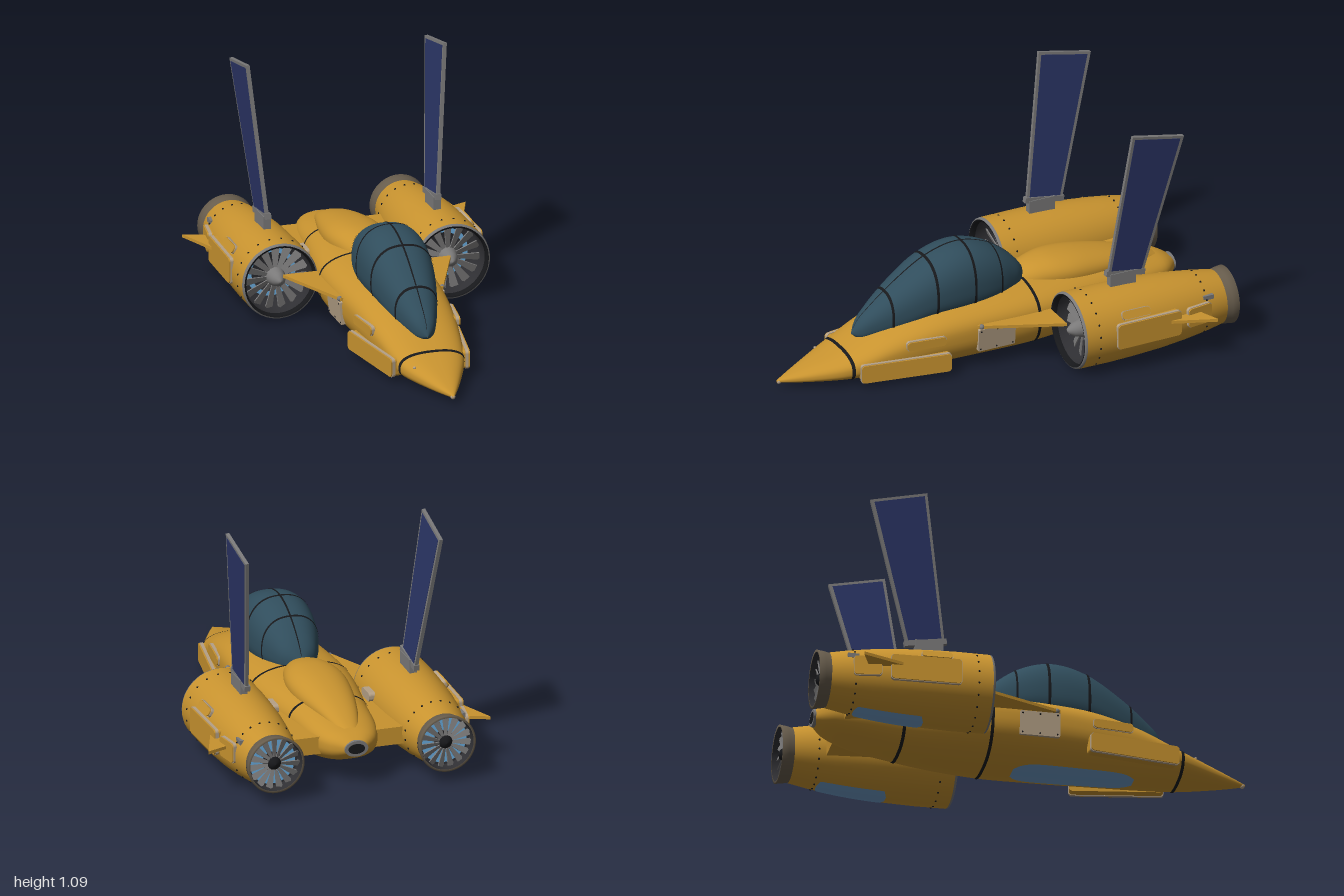
import * as THREE from 'three';

const mat = (name, color) => {
  const m = new THREE.MeshStandardMaterial({ color });
  m.name = name;
  return m;
};

// Smooth body from sections [z, halfWidth, bottomY, middleY, topY], listed tail to nose
function makeSurface(sections, power) {
  const spline = new THREE.CubicInterpolant(sections.map(s => s[0]), sections.flatMap(s => s.slice(1)), 4);
  const bend = v => Math.sign(v) * Math.abs(v) ** (2 / power);
  return (z, a, off = 0) => {
    const [w, bottom, mid, top] = spline.evaluate(z);
    const s = Math.sin(a);
    const h = (s > 0 ? top - mid : mid - bottom) + off;
    return [(w + off) * bend(Math.cos(a)), mid + h * bend(s), z];
  };
}

// Piece of a body surface; a full turn by default, ends rounded by a power when given
function patch(surface, z0, z1, off = 0, { mid = 0, half = Math.PI, nz = 2, na = 64, round = 0 } = {}) {
  const pos = [], idx = [], full = half === Math.PI, row = full ? na : na + 1;
  for (let i = 0; i <= nz; i++) {
    const t = i / nz;
    const k = round ? Math.max(0.1, 1 - Math.abs(2 * t - 1) ** round) ** 0.5 : 1;
    for (let j = 0; j < row; j++) {
      pos.push(...surface(z0 + (z1 - z0) * t, mid + half * k * (2 * j / na - 1), off));
    }
  }
  for (let i = 0; i < nz; i++) for (let j = 0; j < na; j++) {
    const a = i * row + j, b = i * row + (j + 1) % row;
    idx.push(a, b, a + row, b, b + row, a + row);
  }
  const g = new THREE.BufferGeometry();
  g.setAttribute('position', new THREE.Float32BufferAttribute(pos, 3));
  g.setIndex(idx);
  g.computeVertexNormals();
  return g;
}

// Flat polygon with thickness, centred on its plane
function slab(points, thick) {
  const shape = new THREE.Shape(points.map(p => new THREE.Vector2(...p)));
  return new THREE.ExtrudeGeometry(shape, { depth: thick, bevelEnabled: false }).translate(0, 0, -thick / 2);
}

// Rounded plate lying in the zy plane
function plate(len, h, thick, r = 0.015) {
  const s = new THREE.Shape(), x = len / 2, y = h / 2;
  s.absarc(x - r, y - r, r, 0, Math.PI / 2);
  s.absarc(-x + r, y - r, r, Math.PI / 2, Math.PI);
  s.absarc(-x + r, -y + r, r, Math.PI, Math.PI * 1.5);
  s.absarc(x - r, -y + r, r, Math.PI * 1.5, Math.PI * 2);
  return new THREE.ExtrudeGeometry(s, { depth: thick, bevelEnabled: false, curveSegments: 5 })
    .translate(0, 0, -thick / 2).rotateY(Math.PI / 2);
}

// Revolved part along z; points are [radius, z], rising z faces outward, falling z inward
const lathe = pts => new THREE.LatheGeometry(pts.map(p => new THREE.Vector2(...p)), 48).rotateX(Math.PI / 2);

export function createModel() {
  const model = new THREE.Group();
  const yellow = mat('yellow paint', 0xc8932f), glass = mat('canopy glass', 0x304d5c);
  const navy = mat('navy panel', 0x2b3566), grey = mat('grey metal', 0x7a7979);
  const black = mat('black seam', 0x17181b), nozzleMat = mat('burnt metal', 0x675c4c);
  const beige = mat('beige hatch', 0xb5a187), slate = mat('slate blue panel', 0x6e9cc8);
  const glow = mat('engine blue', 0x6aaee0), dark = mat('dark interior', 0x303034);

  const add = (parent, name, geo, material, x = 0, y = 0, z = 0) => {
    const m = new THREE.Mesh(geo, material);
    m.name = name;
    m.position.set(x, y, z);
    parent.add(m);
    return m;
  };

  // Fuselage with seams, belly panel and nose lights
  const hull = makeSurface([
    [-0.92, 0.052, 0.15, 0.18, 0.21], [-0.88, 0.1, 0.122, 0.18, 0.234], [-0.8, 0.14, 0.088, 0.18, 0.252],
    [-0.55, 0.182, 0.035, 0.18, 0.287], [-0.2, 0.233, 0.006, 0.18, 0.3], [0.1, 0.23, 0.004, 0.175, 0.293],
    [0.3, 0.214, 0.005, 0.16, 0.275], [0.5, 0.189, 0.008, 0.125, 0.22], [0.7, 0.145, 0.014, 0.075, 0.136],
    [0.85, 0.08, 0.02, 0.052, 0.089], [0.95, 0.03, 0.026, 0.042, 0.058], [1, 0.003, 0.032, 0.037, 0.042],
  ], 2.5);
  add(model, 'fuselage', patch(hull, -0.92, 1, 0, { nz: 80 }), yellow);
  for (const z of [-0.55, -0.17, 0.695]) add(model, 'hullSeam', patch(hull, z - 0.007, z + 0.007, 0.003), black);
  add(model, 'bellyPanel', patch(hull, -0.04, 0.5, 0.003,
    { mid: -Math.PI / 2, half: 0.33, nz: 32, na: 20, round: 6 }), slate);
  add(model, 'noseLight', new THREE.SphereGeometry(0.011, 12, 8), beige, 0, 0.034, 0.988);
  add(model, 'noseStud', new THREE.SphereGeometry(0.007, 12, 8), beige, ...hull(0.76, 2.5));

  // Tail outlet
  const oval = (w, h, len) => new THREE.CylinderGeometry(1, 1, len, 32).rotateX(Math.PI / 2).scale(w, h, 1);
  add(model, 'tailRing', oval(0.054, 0.036, 0.02), grey, 0, 0.18, -0.918);
  add(model, 'tailOutlet', oval(0.038, 0.023, 0.006), black, 0, 0.18, -0.927);

  // Spine hump behind the cockpit
  const hump = makeSurface([
    [-0.84, 0.042, 0.2, 0.225, 0.248], [-0.7, 0.083, 0.2, 0.26, 0.304], [-0.5, 0.125, 0.2, 0.275, 0.35],
    [-0.38, 0.132, 0.2, 0.285, 0.363], [-0.28, 0.115, 0.2, 0.285, 0.36], [-0.18, 0.075, 0.2, 0.27, 0.33],
    [-0.12, 0.01, 0.24, 0.26, 0.28],
  ], 2.2);
  add(model, 'spineHump', patch(hump, -0.84, -0.12, 0, { nz: 32 }), yellow);

  // Canopy and its ribs
  const canopy = makeSurface([
    [-0.2, 0.01, 0.28, 0.3, 0.32], [-0.17, 0.062, 0.25, 0.31, 0.365], [-0.1, 0.107, 0.24, 0.32, 0.432],
    [0, 0.14, 0.22, 0.33, 0.492], [0.13, 0.153, 0.2, 0.34, 0.52], [0.28, 0.143, 0.2, 0.32, 0.483],
    [0.42, 0.112, 0.17, 0.27, 0.398], [0.55, 0.066, 0.16, 0.22, 0.295], [0.61, 0.033, 0.165, 0.195, 0.235],
    [0.635, 0.001, 0.184, 0.185, 0.186],
  ], 2.4);
  add(model, 'canopy', patch(canopy, -0.2, 0.635, 0, { nz: 48 }), glass);
  for (const [z, w] of [[-0.04, 0.004], [0.1, 0.006], [0.28, 0.006], [0.475, 0.005]]) {
    add(model, 'canopyRib', patch(canopy, z - w, z + w, 0.003), black);
  }
  add(model, 'canopyKeel', patch(canopy, -0.19, 0.625, 0.003,
    { mid: Math.PI / 2, half: 0.014, nz: 48, na: 2 }), black);

  // Box-like panel edged with a thin trim band: [name, z0, z1, y0, y1, outerX, thickness, yaw, roll]
  const panels = [
    ['lowerHullPanel', 0.26, 0.67, 0.03, 0.113, 0.215, 0.06, -0.165, 0],
    ['upperHullPanel', 0.28, 0.46, 0.15, 0.19, 0.217, 0.03, -0.12, 0],
    ['sideHatch', -0.05, 0.13, 0.085, 0.195, 0.236, 0.03, 0, -0.1],
    ['nacellePanel', -0.69, -0.38, 0.135, 0.25, 0.578, 0.04, 0.02, 0],
    ['nacelleRearPanel', -0.85, -0.73, 0.152, 0.24, 0.556, 0.04, 0.15, 0],
    ['nacelleUpperPanel', -0.55, -0.415, 0.252, 0.288, 0.553, 0.04, 0, 0.45],
  ];
  const rivet = new THREE.SphereGeometry(0.0048, 8, 6);

  for (const s of [1, -1]) {
    const side = new THREE.Group();
    side.name = s > 0 ? 'leftSide' : 'rightSide';
    model.add(side);

    for (const [name, z0, z1, y0, y1, x, t, yaw, roll] of panels) {
      const g = new THREE.Group();
      g.name = name;
      g.position.set(s * (x - t / 2), (y0 + y1) / 2, (z0 + z1) / 2);
      g.rotation.set(0, s * yaw, s * roll);
      side.add(g);
      const hatch = name === 'sideHatch';
      add(g, 'panelFace', plate(z1 - z0, y1 - y0, t, hatch ? 0.006 : 0.015), hatch ? beige : yellow);
      if (!hatch) add(g, 'panelTrim', plate(z1 - z0 + 0.005, y1 - y0 + 0.005, 0.014), beige, s * (t / 2 - 0.013));
      else for (const a of [-1, 1]) for (const b of [-1, 0, 1]) {
        add(g, 'hatchRivet', rivet, black, s * t / 2, a * 0.044, b * 0.078).scale.setScalar(0.8);
      }
    }
    add(side, 'innerBracket', plate(0.1, 0.04, 0.03), beige, s * 0.223, 0.23, -0.44);

    // Strake, pylon and winglet
    const flat = (pts, t) => slab(pts.map(([x, z]) => [s * x, z]), t).rotateX(Math.PI / 2);
    add(side, 'strake', flat([[0.18, 0.13], [0.235, 0.13], [0.385, -0.225], [0.18, -0.225]], 0.014), yellow, 0, 0.205, 0);
    add(side, 'strakeTip', new THREE.SphereGeometry(0.012, 12, 8), grey, s * 0.235, 0.205, 0.115);
    add(side, 'pylon', flat([[0.12, -0.25], [0.235, -0.25], [0.27, -0.81], [0.08, -0.81]], 0.08), yellow, 0, 0.17, 0);
    add(side, 'winglet', flat([[0.5, -0.5], [0.56, -0.6], [0.65, -0.83], [0.5, -0.77]], 0.014), yellow, 0, 0.207, 0);
    add(side, 'sensor', new THREE.BoxGeometry(0.03, 0.02, 0.05), grey, s * 0.505, 0.253, -0.85);

    // Nacelle
    const pod = new THREE.Group();
    pod.name = 'nacelle';
    pod.position.set(s * 0.395, 0.18, 0);
    side.add(pod);
    const shell = [[0.122, -0.945], [0.138, -0.86], [0.152, -0.76], [0.164, -0.64], [0.171, -0.5],
      [0.174, -0.38], [0.173, -0.236]];
    add(pod, 'nacelleShell', lathe(shell), yellow);
    add(pod, 'intakeLip', lathe([[0.173, -0.238], [0.171, -0.228], [0.165, -0.225]]), grey);
    add(pod, 'intakeRing', lathe([[0.165, -0.225], [0.157, -0.227], [0.154, -0.25]]), black);
    add(pod, 'intakeDuct', lathe([[0.155, -0.245], [0.15, -0.37], [0, -0.37]]), dark);
    add(pod, 'intakeGlow', new THREE.RingGeometry(0.09, 0.112, 48), glow, 0, 0, -0.36);
    add(pod, 'exhaustNozzle', lathe([[0.12, -0.9995], [0.13, -1], [0.126, -0.97], [0.118, -0.935]]), nozzleMat);
    add(pod, 'nozzleDuct', lathe([[0.116, -0.88], [0.12, -0.9995]]), dark);
    add(pod, 'exhaustGlow', new THREE.RingGeometry(0.045, 0.105, 48).rotateY(Math.PI), glow, 0, 0, -0.945);
    add(pod, 'exhaustBack', new THREE.CircleGeometry(0.117, 48).rotateY(Math.PI), dark, 0, 0, -0.94);

    // Fans: [name, z, blade count, root radius, tip radius, width, pitch]
    for (const [name, z, n, r0, r1, w, pitch] of [
      ['intakeFan', -0.3, 15, 0.03, 0.148, 0.039, 0.35], ['exhaustFan', -0.972, 15, 0.03, 0.117, 0.03, 0.35]]) {
      const fan = new THREE.Group();
      fan.name = name;
      fan.position.z = z;
      pod.add(fan);
      const blade = slab([[-w * 0.2, r0], [w * 0.2, r0], [w * 0.5, r1 - 0.008], [w * 0.3, r1], [-w * 0.5, r1 - 0.006]], 0.005)
        .rotateY(s * pitch);
      for (let i = 0; i < n; i++) add(fan, 'fanBlade', blade, grey).rotation.z = i / n * Math.PI * 2;
    }
    add(pod, 'intakeSpinner', lathe([[0.044, -0.32], [0.042, -0.29], [0.03, -0.25], [0.012, -0.225], [0, -0.22]]), grey);
    add(pod, 'exhaustCone', lathe([[0, -0.995], [0.02, -0.988], [0.036, -0.965], [0.04, -0.93]]), black);

    // Rivet rings and underside panel
    for (const [z, r] of [[-0.3, 0.173], [-0.84, 0.141]]) for (let i = 0; i < 20; i++) {
      const a = (i + 0.5) / 20 * Math.PI * 2;
      add(pod, 'rivet', rivet, black, r * Math.cos(a), r * Math.sin(a), z);
    }
    const podSurface = makeSurface(shell.map(([r, z]) => [z, r, -r, 0, r]), 2);
    add(pod, 'undersidePanel', patch(podSurface, -0.83, -0.52, 0.003,
      { mid: -Math.PI / 2, half: 0.36, nz: 24, na: 14, round: 30 }), slate);

    // Tall canted fin with mount
    add(side, 'finMount', new THREE.BoxGeometry(0.034, 0.09, 0.125), grey, s * 0.39, 0.365, -0.49);
    add(side, 'finCollar', new THREE.BoxGeometry(0.026, 0.026, 0.19), grey, s * 0.39, 0.402, -0.505).rotation.x = -0.15;
    const fin = new THREE.Group();
    fin.name = 'fin';
    fin.position.set(s * 0.392, 0.41, 0);
    fin.rotation.z = -s * 0.088;
    side.add(fin);
    add(fin, 'finFrame', slab([[-0.42, 0], [-0.51, 0.685], [-0.762, 0.632], [-0.59, -0.03]], 0.016).rotateY(-Math.PI / 2), grey);
    add(fin, 'finPanel', slab([[-0.434, 0.01], [-0.521, 0.67], [-0.744, 0.623], [-0.58, -0.015]], 0.019).rotateY(-Math.PI / 2), navy);
  }
  return model;
}
